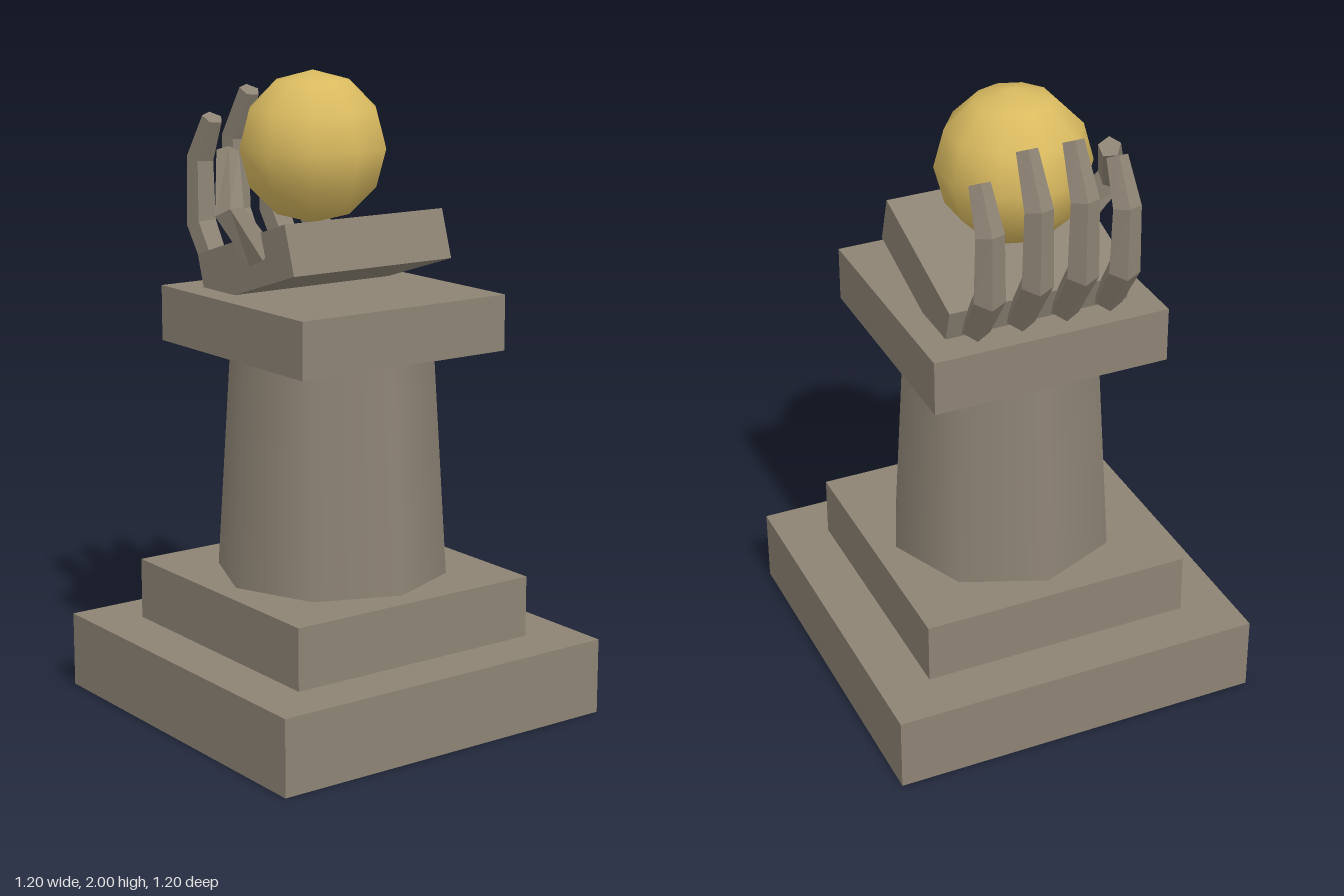
import * as THREE from 'three';

const SIDES = 5;

// Tapered, faceted limb running through a few joints; radii are per joint.
function limbGeometry(joints, radii, side) {
  const pts = joints.map((p) => new THREE.Vector3(...p));
  const dirs = pts.slice(1).map((p, i) => p.clone().sub(pts[i]).normalize());
  const rings = pts.map((p, i) => {
    const t = new THREE.Vector3();
    if (i > 0) t.add(dirs[i - 1]);
    if (i < dirs.length) t.add(dirs[i]);
    t.normalize();
    const u = side.clone().addScaledVector(t, -side.dot(t)).normalize();
    const v = t.clone().cross(u);
    return Array.from({ length: SIDES }, (_, k) => {
      const a = ((k + 0.1) / SIDES) * Math.PI * 2;
      return p.clone()
        .addScaledVector(u, Math.cos(a) * radii[i])
        .addScaledVector(v, Math.sin(a) * radii[i]);
    });
  });
  const tris = [];
  const last = rings.length - 1;
  for (let k = 0; k < SIDES; k++) {
    const n = (k + 1) % SIDES;
    for (let i = 0; i < last; i++) {
      const a = rings[i], b = rings[i + 1];
      tris.push(a[k], a[n], b[n], a[k], b[n], b[k]);
    }
    tris.push(pts[0], rings[0][n], rings[0][k]);
    tris.push(pts[last], rings[last][k], rings[last][n]);
  }
  const g = new THREE.BufferGeometry().setFromPoints(tris);
  g.computeVertexNormals();
  return g;
}

export function createModel() {
  const model = new THREE.Group();
  const stone = new THREE.MeshStandardMaterial({ color: 0x8d8374 });
  stone.name = 'stone';
  const gold = new THREE.MeshStandardMaterial({ color: 0xd9ba60 });
  gold.name = 'gold';

  const add = (name, geometry, material, x = 0, y = 0, z = 0, parent = model) => {
    const mesh = new THREE.Mesh(geometry, material);
    mesh.name = name;
    mesh.position.set(x, y, z);
    parent.add(mesh);
    return mesh;
  };
  const slab = (name, width, bottom, top) =>
    add(name, new THREE.BoxGeometry(width, top - bottom, width), stone, 0, (top + bottom) / 2);

  // Pedestal
  slab('plinth', 1.2, 0, 0.24);
  slab('step', 0.875, 0.24, 0.435);
  add('column', new THREE.CylinderGeometry(0.32, 0.365, 0.72, 8), stone, 0, 0.795, 0);
  slab('capital', 0.76, 1.155, 1.33);

  // Open hand, its palm tilted up at the front
  const hand = new THREE.Group();
  hand.name = 'hand';
  model.add(hand);
  const palm = add('palm', new THREE.BoxGeometry(0.592, 0.157, 0.495), stone, 0, 1.43, -0.04, hand);
  palm.rotation.x = -0.305;

  // Four curled fingers, the outer two shorter
  const xAxis = new THREE.Vector3(1, 0, 0);
  [-0.215, -0.072, 0.072, 0.215].forEach((x, i) => {
    const s = i === 0 || i === 3 ? 0.86 : 1;
    const path = [[-0.3, 1.365], [-0.41, 1.535], [-0.415, 1.775], [-0.335, 1.925]]
      .map(([z, y]) => [x, 1.365 + (y - 1.365) * s, -0.3 + (z + 0.3) * s]);
    add(`finger${i + 1}`, limbGeometry(path, [0.045, 0.05, 0.045, 0.034], xAxis), stone, 0, 0, 0, hand);
  });

  // Thumb
  const thumbPath = [[-0.28, 1.465, 0.03], [-0.37, 1.6, -0.01], [-0.302, 1.765, -0.12]];
  add('thumb', limbGeometry(thumbPath, [0.05, 0.048, 0.036], new THREE.Vector3(0.6, 0, 0.8)),
    stone, 0, 0, 0, hand);

  // Golden ball held in the hand
  const ball = add('ball', new THREE.SphereGeometry(0.236, 10, 6), gold, 0, 1.764, -0.097);
  ball.rotation.y = Math.PI / 2;

  return model;
}
